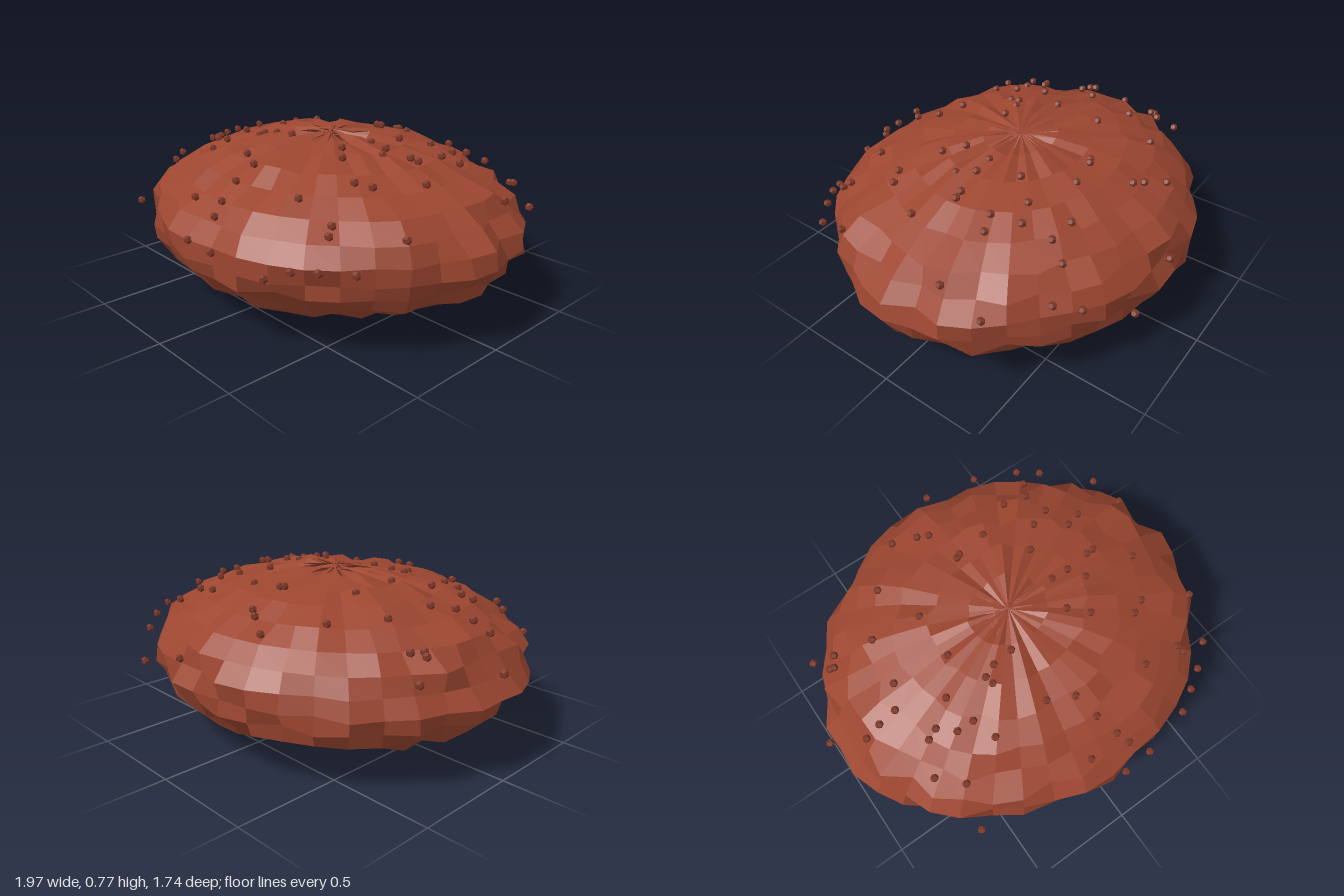
import * as THREE from 'three';

const EQUATOR = 0.355; // height of the widest ring
const RX = 0.953, RZ = 0.83, TOP = 0.405, BOTTOM = 0.338;
const COLS = 40, ROWS = 16;
const ROUGHNESS = 0.042;

// Small seeded generator giving values from -1 to 1
function makeNoise(seed) {
  let s = seed;
  return () => {
    s = (s * 16807) % 2147483647;
    return (s / 2147483647) * 2 - 1;
  };
}

// Crumb places on the crust, as x and z pairs
const CRUMBS = [
  0.08, -0.84, 0.37, -0.84, -0.23, -0.65, -0.12, -0.59, -0.07, -0.56, -0.42, -0.46,
  -0.85, -0.39, -0.75, -0.33, -0.8, -0.29, -0.78, -0.28, -0.57, -0.26, -0.34, -0.21,
  -0.04, -0.355, -0.02, -0.365, 0.13, -0.39, 0.32, -0.49, 0.44, -0.475, 0.49, -0.56,
  0.55, -0.7, 0.63, -0.61, 0.46, -0.34, 0.36, -0.3, 0.58, -0.24, 0.5, -0.21,
  0.84, -0.42, 0.26, -0.19, 0.84, -0.22, 0.25, -0.01, 0.34, -0.01, 0.47, -0.03,
  0.51, -0.035, 0.39, 0.065, 0.66, 0.085, 0.22, 0.145, 0.3, 0.22, 0.55, 0.29,
  0.48, 0.325, 0.81, 0.37, 0.38, 0.54, 0.58, 0.545, 0.6, 0.58, 0.75, 0.58,
  0.64, 0.67, 0.55, 0.73, 0.46, 0.79, 0.2, 0.85, 0.05, 0.86, 0.09, 0.71,
  0.12, 0.77, -0.07, 0.735, 0.05, 0.605, 0.02, 0.485, -0.1, 0.43, -0.37, 0.43,
  -0.41, 0.32, -0.49, 0.315, -0.61, 0.27, -0.56, 0.25, -0.45, 0.17, -0.25, 0.24,
  -0.26, 0.2, -0.2, 0.175, -0.1, 0.165, -0.34, 0.02, -0.6, -0.025, -0.66, 0.075,
  -0.75, 0.08, -0.83, 0.09, -0.98, -0.02, -0.68, 0.41, -0.58, 0.51, -0.63, 0.69,
];

// Flattened ball whose vertices are pushed in and out at random
function pattyGeometry() {
  const noise = makeNoise(90533);
  const geometry = new THREE.SphereGeometry(1, COLS, ROWS);
  const pos = geometry.attributes.position;
  for (let row = 0; row <= ROWS; row++) {
    let first = 1;
    for (let col = 0; col <= COLS; col++) {
      const i = row * (COLS + 1) + col;
      let k = 1 + ROUGHNESS * noise();
      if (col === 0) first = k;
      if (col === COLS) k = first; // close the seam
      const y = pos.getY(i);
      pos.setXYZ(i, pos.getX(i) * RX * k, EQUATOR + y * k * (y > 0 ? TOP : BOTTOM), pos.getZ(i) * RZ * k);
    }
  }
  const flat = geometry.toNonIndexed();
  flat.computeVertexNormals();

  // Both triangles of a four-sided facet share one normal; the pole fans stay single
  const normal = flat.attributes.normal;
  const a = new THREE.Vector3(), b = new THREE.Vector3();
  for (let v = COLS * 3; v < normal.count - COLS * 3; v += 6) {
    a.fromBufferAttribute(normal, v).add(b.fromBufferAttribute(normal, v + 3)).normalize();
    for (let j = 0; j < 6; j++) normal.setXYZ(v + j, a.x, a.y, a.z);
  }
  return flat;
}

export function createModel() {
  const model = new THREE.Group();
  model.name = 'patty';

  const brown = new THREE.MeshStandardMaterial({ color: 0x9c4630, side: THREE.DoubleSide });
  brown.name = 'browned meat';
  const dark = new THREE.MeshStandardMaterial({ color: 0x7c3727, flatShading: true });
  dark.name = 'dark crumb';

  const body = new THREE.Mesh(pattyGeometry(), brown);
  body.name = 'pattyBody';
  model.add(body);

  // Crumbs resting on the upper crust
  const crumbs = new THREE.Group();
  crumbs.name = 'crumbs';
  const crumbGeometry = new THREE.DodecahedronGeometry(0.019);
  for (let i = 0; i < CRUMBS.length; i += 2) {
    const x = CRUMBS[i], z = CRUMBS[i + 1];
    const spread = (x / 0.97) ** 2 + (z / 0.835) ** 2;
    const crumb = new THREE.Mesh(crumbGeometry, dark);
    crumb.name = 'crumb';
    crumb.position.set(x, EQUATOR + 0.41 * Math.sqrt(Math.max(0.01, 1 - spread / 1.13)), z);
    crumbs.add(crumb);
  }
  model.add(crumbs);

  return model;
}
